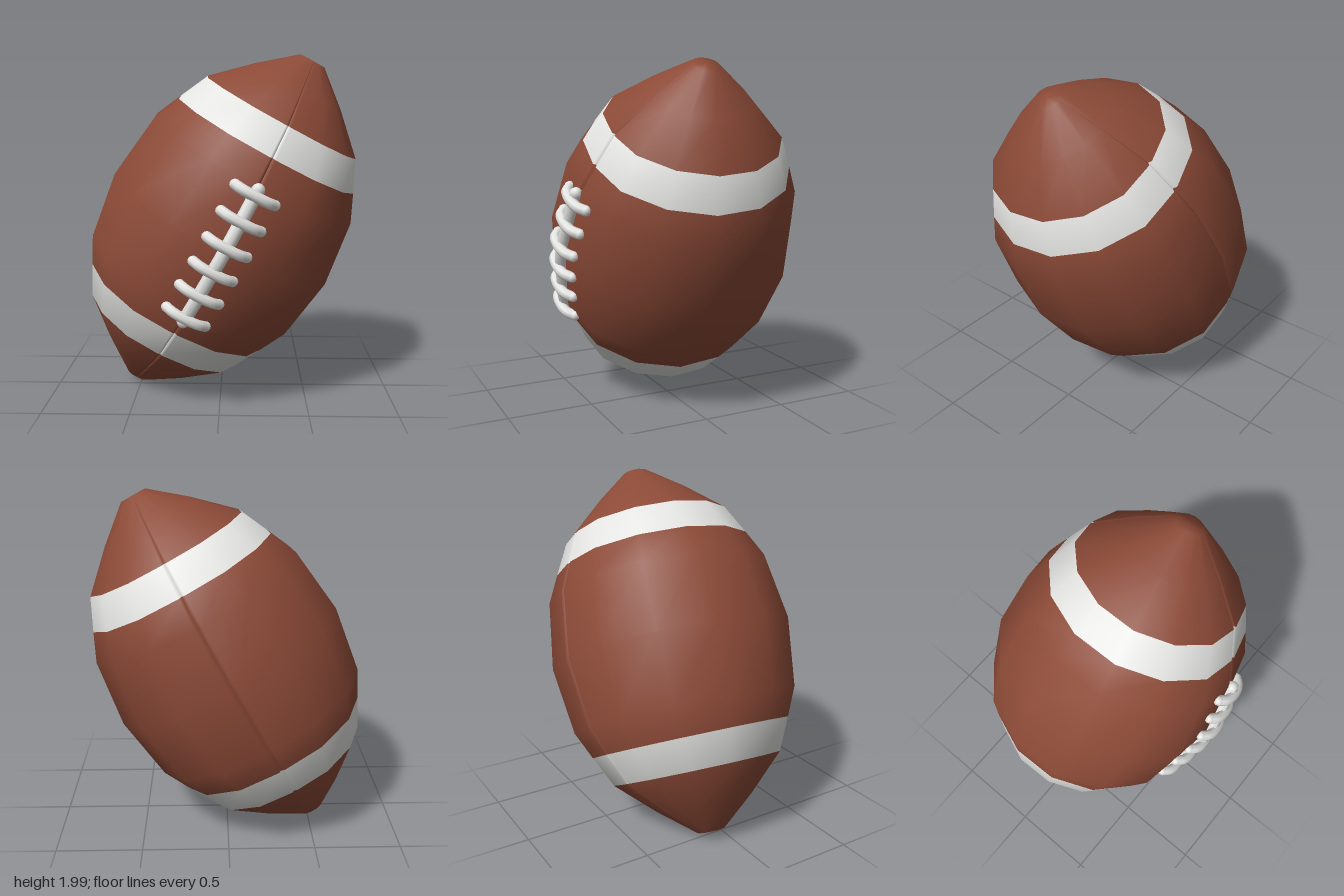
import * as THREE from 'three';

// Half profile from middle to tip: [distance along axis, radius]
const HALF = [[0, 0.7], [0.39, 0.648], [0.55, 0.574], [0.73, 0.487], [0.93, 0.277], [1.095, 0.078], [1.097, 0]];
const PROFILE = [...HALF.slice(1).reverse().map(([y, r]) => [-y, r]), ...HALF];
const STEPS = 7; // facets per leather panel

function radiusAt(y) {
  const d = Math.abs(y);
  const k = HALF.findIndex((p) => p[0] > d);
  const [y0, r0] = HALF[k - 1], [y1, r1] = HALF[k];
  return r0 + ((r1 - r0) * (d - y0)) / (y1 - y0);
}

// One half of the skin, from seam to seam, with its edges tucked into the groove
function panelGeometry() {
  const columns = [[0, 0.96], [0.03, 0.99]];
  for (let i = 1; i < STEPS; i++) columns.push([(i * Math.PI) / STEPS, 1.022]);
  columns.push([Math.PI - 0.03, 0.99], [Math.PI, 0.96]);
  const n = columns.length, positions = [], index = [];
  const geo = new THREE.BufferGeometry();
  for (const [y, r] of PROFILE)
    for (const [a, s] of columns) positions.push(r * s * Math.sin(a), y, r * s * Math.cos(a));
  for (let i = 0; i < PROFILE.length - 1; i++) {
    const start = index.length;
    for (let j = 0; j < n - 1; j++) {
      const a = i * n + j, b = a + 1, c = b + n, d = a + n;
      index.push(a, b, c, a, c, d);
    }
    const middle = Math.abs(PROFILE[i][0] + PROFILE[i + 1][0]) / 2;
    geo.addGroup(start, index.length - start, middle > 0.55 && middle < 0.73 ? 1 : 0);
  }
  geo.setAttribute('position', new THREE.Float32BufferAttribute(positions, 3));
  geo.setIndex(index);
  geo.computeVertexNormals();
  return geo;
}

// Round cord through the given points, with rounded ends
function cord(name, points, radius, material) {
  const group = new THREE.Group();
  group.name = name;
  const curve = new THREE.CatmullRomCurve3(points);
  group.add(new THREE.Mesh(new THREE.TubeGeometry(curve, 14, radius, 8), material));
  for (const p of [points[0], points[points.length - 1]]) {
    const end = new THREE.Mesh(new THREE.SphereGeometry(radius, 8, 6), material);
    end.position.copy(p);
    group.add(end);
  }
  group.children.forEach((m) => { m.name = name; });
  return group;
}

export function createModel() {
  const leather = new THREE.MeshStandardMaterial({ color: 0x8c4a37 });
  leather.name = 'brown leather';
  const white = new THREE.MeshStandardMaterial({ color: 0xe4e4e2 });
  white.name = 'white';

  const ball = new THREE.Group();
  ball.name = 'ball';

  // Two leather panels with white stripes
  const panel = panelGeometry();
  ['leftPanel', 'rightPanel'].forEach((name, i) => {
    const mesh = new THREE.Mesh(panel, [leather, white]);
    mesh.name = name;
    mesh.rotation.y = i * Math.PI;
    ball.add(mesh);
  });

  // Lacing: a long cord on the seam and six cross laces
  const v = (x, y, z) => new THREE.Vector3(x, y, z);
  const spine = [];
  for (let i = 0; i <= 6; i++) {
    const y = -0.44 + i * 0.137;
    spine.push(v(0, y, radiusAt(y) + 0.006));
  }
  ball.add(cord('laceSpine', spine, 0.037, white));
  for (let i = 0; i < 6; i++) {
    const y = -0.41 + i * 0.152, r = radiusAt(y);
    const points = [[-0.118, -0.012], [-0.075, 0.022], [0, 0.035], [0.075, 0.022], [0.118, -0.012]];
    ball.add(cord('crossLace', points.map(([x, h]) => v(x, y, r + h)), 0.03, white));
  }

  // Lean the ball over and roll it slightly about its long axis
  const axis = v(0.48, 0.877, 0.055).normalize();
  const front = v(0.061, -0.034, 1);
  front.addScaledVector(axis, -front.dot(axis)).normalize();
  const side = axis.clone().cross(front);
  ball.quaternion.setFromRotationMatrix(new THREE.Matrix4().makeBasis(side, axis, front));
  ball.position.set(0, 1, -0.027);

  const model = new THREE.Group();
  model.name = 'lacedBall';
  model.add(ball);
  return model;
}
